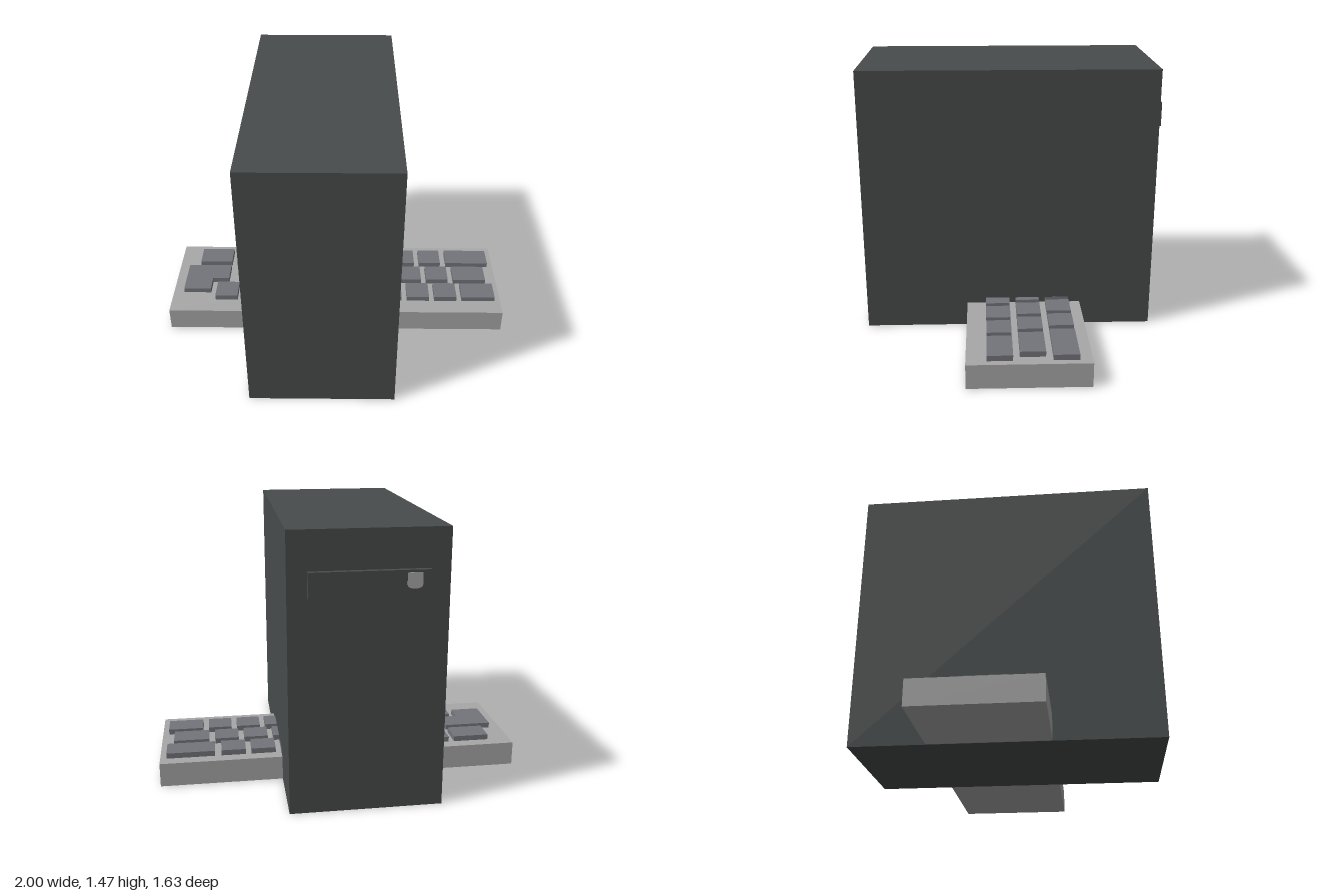
import * as THREE from 'three';

const mat = (name, color) => {
  const m = new THREE.MeshStandardMaterial({ color });
  m.name = name;
  return m;
};

export function createModel() {
  const model = new THREE.Group();
  const caseGrey = mat('dark case grey', 0x484c4c);
  const baseGrey = mat('keyboard grey', 0xa8a8a8);
  const keyGrey = mat('key grey', 0x74757b);

  // Box given by its lower and upper corner
  const box = (parent, name, material, [x0, y0, z0], [x1, y1, z1]) => {
    const mesh = new THREE.Mesh(new THREE.BoxGeometry(x1 - x0, y1 - y0, z1 - z0), material);
    mesh.position.set((x0 + x1) / 2, (y0 + y1) / 2, (z0 + z1) / 2);
    mesh.name = name;
    parent.add(mesh);
    return mesh;
  };

  // Tower with the drive on its back
  const tower = new THREE.Group();
  tower.name = 'tower';
  box(tower, 'towerCase', caseGrey, [-0.47, 0, -0.785], [0.33, 1.465, 0.815]);
  box(tower, 'drive', caseGrey, [-0.37, 1.135, -0.815], [0.23, 1.265, -0.785]);

  // Drive button: thin plate with a rounded lower edge
  const plate = new THREE.Shape();
  plate.moveTo(-0.038, 0.04);
  plate.lineTo(-0.038, -0.02);
  plate.quadraticCurveTo(-0.036, -0.04, 0, -0.04);
  plate.quadraticCurveTo(0.036, -0.04, 0.038, -0.02);
  plate.lineTo(0.038, 0.04);
  const button = new THREE.Mesh(
    new THREE.ExtrudeGeometry(plate, { depth: 0.006, bevelEnabled: false, curveSegments: 4 }), baseGrey);
  button.position.set(-0.287, 1.213, -0.818);
  button.name = 'driveButton';
  tower.add(button);

  // Keyboard running through the foot of the tower
  const keyboard = new THREE.Group();
  keyboard.name = 'keyboard';
  box(keyboard, 'keyboardBase', baseGrey, [-1, 0.002, -0.385], [1, 0.135, 0.25]);

  // Three rows: optional wide first key, a run of equal keys, a wide last key
  const KEY = 0.135, PITCH = 0.1667, KEY_Y = 0.135, KEY_TOP = 0.165;
  const rows = [
    { z: -0.32, first: [-0.87, -0.67], start: -0.638, count: 8, last: [0.70, 0.965] },
    { z: -0.153, start: -0.605, count: 8, last: [0.73, 0.93] },
    { z: 0.013, start: -0.735, count: 9, last: [0.765, 0.965] },
  ];
  for (const { z, first, start, count, last } of rows) {
    const spans = first ? [first, last] : [last];
    for (let i = 0; i < count; i++) spans.push([start + i * PITCH, start + i * PITCH + KEY]);
    for (const [a, b] of spans) box(keyboard, 'key', keyGrey, [a, KEY_Y, z], [b, KEY_TOP, z + 0.132]);
  }

  // L-shaped key
  const outline = [[-0.935, -0.08], [-0.77, -0.08], [-0.77, 0.021], [-0.67, 0.021], [-0.67, 0.153], [-0.935, 0.153]];
  const shape = new THREE.Shape(outline.map(([x, y]) => new THREE.Vector2(x, y)));
  const corner = new THREE.Mesh(
    new THREE.ExtrudeGeometry(shape, { depth: KEY_TOP - KEY_Y, bevelEnabled: false }), keyGrey);
  corner.rotation.x = -Math.PI / 2;
  corner.position.y = KEY_Y;
  corner.name = 'cornerKey';
  keyboard.add(corner);

  model.add(tower, keyboard);
  return model;
}
